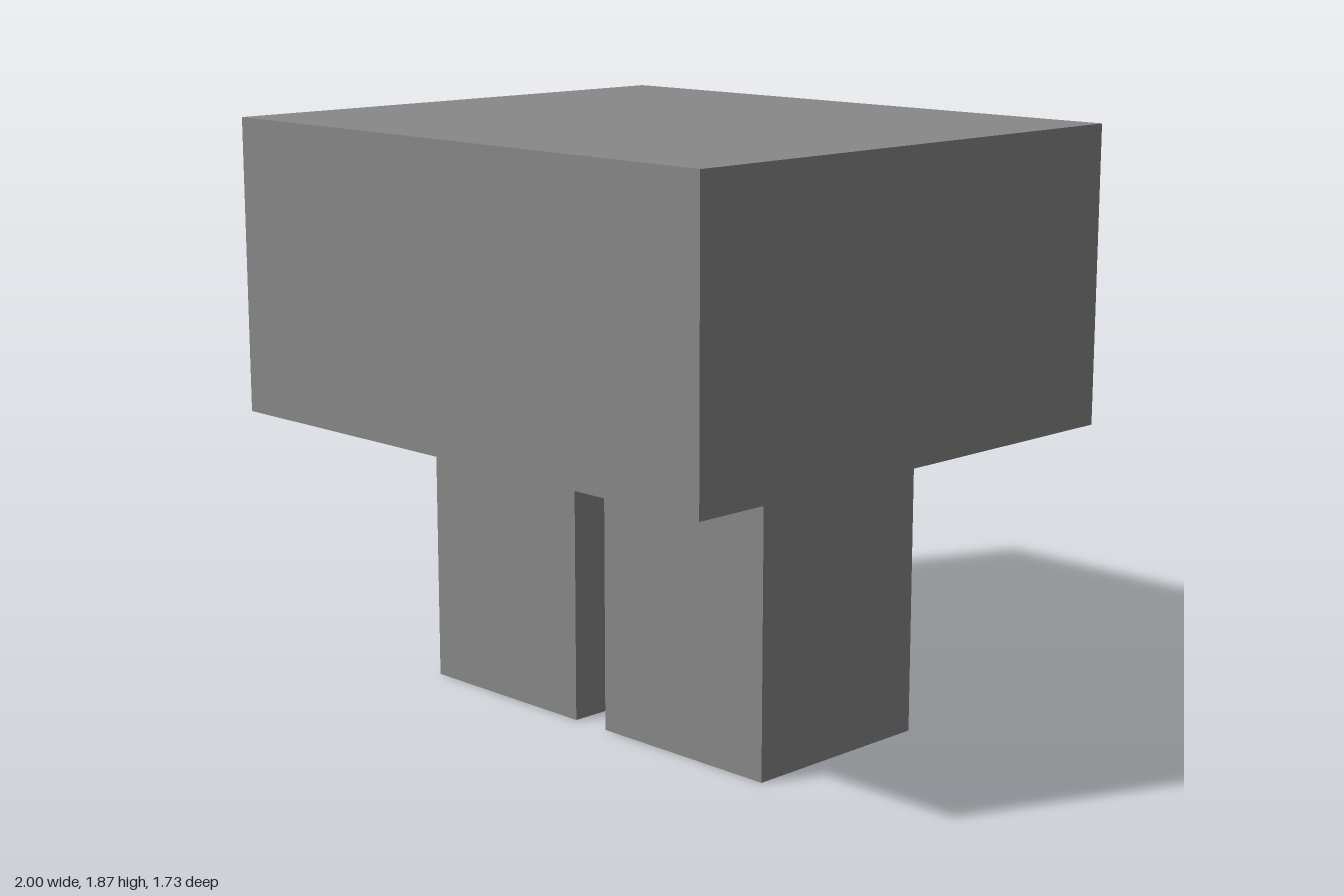
import * as THREE from 'three';

// All sizes are whole multiples of this unit
const U = 1 / 15;

export function createModel() {
  const group = new THREE.Group();
  const grey = new THREE.MeshStandardMaterial({ color: 0x888888 });
  grey.name = 'grey';

  const addBox = (name, w, h, d, x, y) => {
    const mesh = new THREE.Mesh(new THREE.BoxGeometry(w * U, h * U, d * U), grey);
    mesh.name = name;
    mesh.position.set(x * U, y * U, 0);
    group.add(mesh);
  };

  // Wide block resting on the legs
  addBox('body', 30, 14, 26, 0, 21);

  // Mirrored pair of square legs
  for (const [name, side] of [['leftLeg', 1], ['rightLeg', -1]]) {
    addBox(name, 10, 14, 10, side * 6, 7);
  }

  return group;
}
